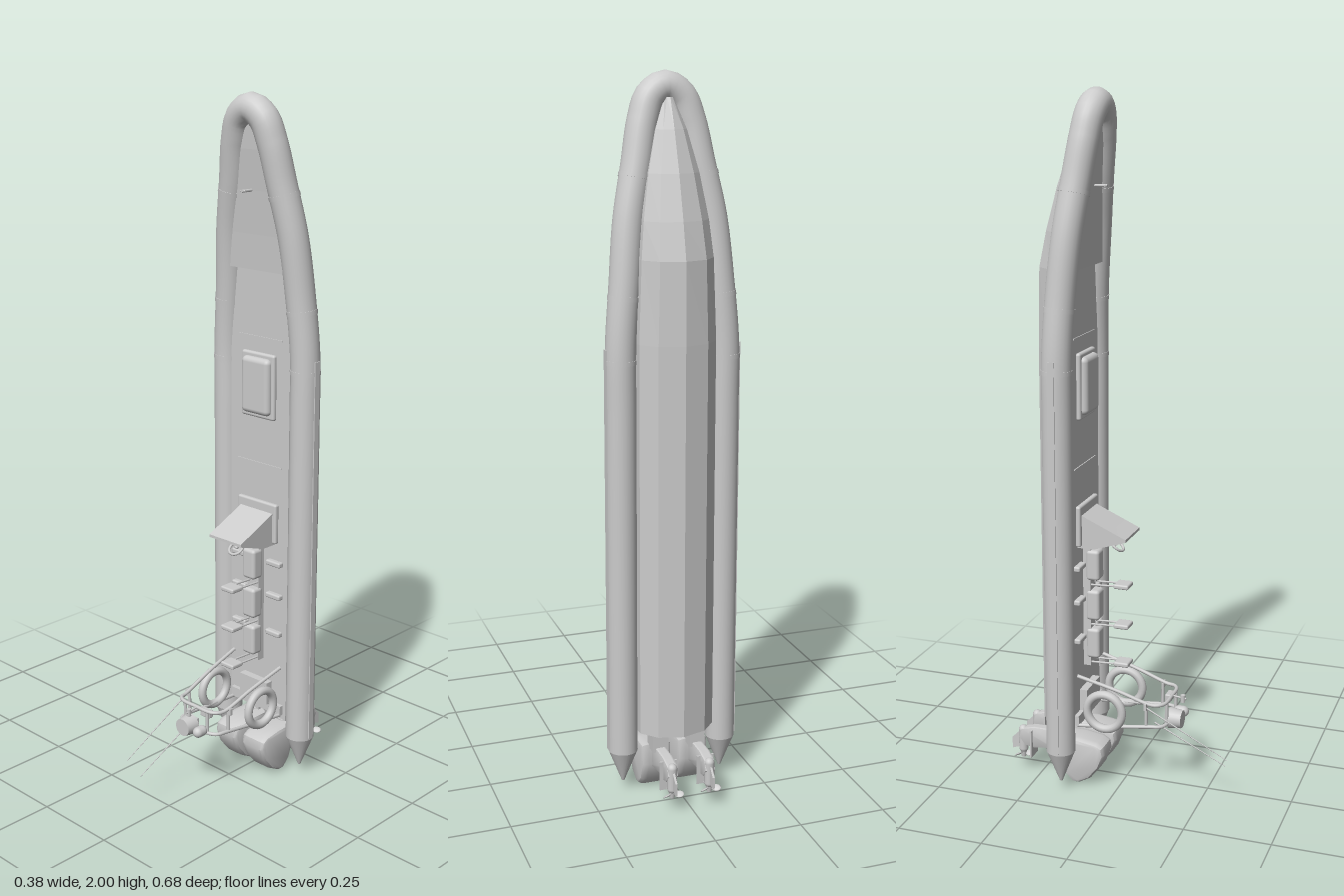
import * as THREE from 'three';
import { RoundedBoxGeometry } from 'three/addons/geometries/RoundedBoxGeometry.js';
import { toCreasedNormals } from 'three/addons/utils/BufferGeometryUtils.js';

const grey = new THREE.MeshStandardMaterial({ color: 0xcccccc });
const faceted = new THREE.MeshStandardMaterial({ color: 0xcccccc, flatShading: true, side: THREE.DoubleSide });
const V = (x, y, z) => new THREE.Vector3(x, y, z);

function add(parent, name, geo, x = 0, y = 0, z = 0, mat = grey) {
  const m = new THREE.Mesh(geo, mat);
  m.name = name;
  m.position.set(x, y, z);
  parent.add(m);
  return m;
}
const box = (w, h, d) => new THREE.BoxGeometry(w, h, d);
const soft = (w, h, d, r) => new RoundedBoxGeometry(w, h, d, 3, r);
const cyl = (r1, r2, h, n = 20) => new THREE.CylinderGeometry(r1, r2, h, n);

// Straight round bar between two points
function rod(parent, name, a, b, r0, r1 = r0) {
  const m = add(parent, name, cyl(r1, r0, a.distanceTo(b), 8));
  m.position.copy(a).add(b).multiplyScalar(0.5);
  m.quaternion.setFromUnitVectors(V(0, 1, 0), b.clone().sub(a).normalize());
  return m;
}
// Bent bar through points, with rounded corners
function pipe(parent, name, pts, r, n = 80) {
  const c = new THREE.CatmullRomCurve3(pts, false, 'centripetal');
  return add(parent, name, new THREE.TubeGeometry(c, n, r, 10));
}
// Side profile given as [z, y], extruded across x and centred
function sideExtrude(pts, width, bevel = 0) {
  const s = new THREE.Shape(pts.map(([z, y]) => new THREE.Vector2(-z, y)));
  const depth = width - 2 * bevel;
  const g = new THREE.ExtrudeGeometry(s, {
    depth, bevelEnabled: bevel > 0, bevelSize: bevel * 0.6, bevelThickness: bevel, bevelOffset: -bevel * 0.6, bevelSegments: 3,
  });
  g.translate(0, 0, -depth / 2).rotateY(Math.PI / 2);
  return toCreasedNormals(g, 0.6);
}

// Hull lofted through cross-sections: y, half width, deck z, chine x, chine z, keel z
function hullGeometry() {
  const sections = [
    [0.19, 0.112, -0.128, 0.108, -0.193, -0.255],
    [1.30, 0.112, -0.128, 0.108, -0.193, -0.255],
    [1.52, 0.105, -0.126, 0.100, -0.190, -0.252],
    [1.521, 0.105, -0.108, 0.100, -0.190, -0.252],
    [1.62, 0.096, -0.102, 0.090, -0.178, -0.230],
    [1.74, 0.080, -0.092, 0.070, -0.158, -0.197],
    [1.85, 0.050, -0.080, 0.043, -0.135, -0.160],
    [1.93, 0.015, -0.075, 0.012, -0.115, -0.128],
  ];
  const pos = [], idx = [], n = 7;
  for (const [y, w, d, cx, cz, k] of sections) {
    const mx = cx * 0.64, mz = cz + (k - cz) * 0.68;
    for (const [x, z] of [[w, d], [cx, cz], [mx, mz], [0, k], [-mx, mz], [-cx, cz], [-w, d]]) pos.push(x, y, z);
  }
  for (let s = 0; s < sections.length - 1; s++)
    for (let i = 0; i < n; i++) {
      const a = s * n + i, b = s * n + (i + 1) % n;
      idx.push(a, b, a + n, b, b + n, a + n);
    }
  const last = (sections.length - 1) * n;
  for (let i = 1; i < n - 1; i++) {
    idx.push(0, i + 1, i);
    idx.push(last, last + i, last + i + 1);
  }
  const g = new THREE.BufferGeometry();
  g.setAttribute('position', new THREE.Float32BufferAttribute(pos, 3));
  g.setIndex(idx);
  return g;
}

function outboard(x) {
  const g = new THREE.Group();
  g.name = 'outboardMotor';
  g.position.x = x;
  add(g, 'cowl', sideExtrude([[-0.04, 0.10], [-0.045, 0.125], [-0.065, 0.137], [-0.12, 0.145], [-0.18, 0.145],
    [-0.185, 0.085], [-0.165, 0.03], [-0.14, 0.004], [-0.12, 0.003], [-0.085, 0.022], [-0.055, 0.06]], 0.088, 0.02));
  add(g, 'leg', sideExtrude([[-0.16, 0.148], [-0.27, 0.148], [-0.31, 0.138], [-0.32, 0.11], [-0.30, 0.085],
    [-0.27, 0.08], [-0.24, 0.085], [-0.20, 0.08], [-0.16, 0.07]], 0.03, 0.006));
  add(g, 'bracket', box(0.045, 0.06, 0.05), 0, 0.165, -0.19);
  add(g, 'cavitationPlate', box(0.05, 0.085, 0.005), 0, 0.095, -0.277);
  add(g, 'gearcase', new THREE.CapsuleGeometry(0.014, 0.06, 6, 14), 0, 0.10, -0.31);
  add(g, 'skeg', sideExtrude([[-0.315, 0.13], [-0.345, 0.10], [-0.345, 0.065], [-0.315, 0.075]], 0.006));
  add(g, 'propellerHub', cyl(0.011, 0.007, 0.025, 14), 0, 0.055, -0.31);
  for (let i = 0; i < 3; i++) {
    const hub = new THREE.Group();
    hub.name = 'propellerBlade';
    hub.position.set(0, 0.055, -0.31);
    hub.rotation.y = i * Math.PI * 2 / 3;
    const blade = add(hub, 'blade', new THREE.SphereGeometry(1, 12, 8), 0, 0, 0.02);
    blade.scale.set(0.011, 0.003, 0.014);
    blade.rotation.z = 0.6;
    g.add(hub);
  }
  return g;
}

export function createModel() {
  const boat = new THREE.Group();
  boat.name = 'inflatableBoat';
  add(boat, 'hull', hullGeometry(), 0, 0, 0, faceted);

  // Inflatable collar running round the bow, with tapered tails and seam bands
  const R = 0.042;
  const side = [[0.147, 0.13, -0.153], [0.147, 0.6, -0.153], [0.147, 1.1, -0.153], [0.146, 1.29, -0.152],
    [0.133, 1.45, -0.145], [0.116, 1.62, -0.13], [0.088, 1.76, -0.113], [0.066, 1.87, -0.098], [0.042, 1.932, -0.09]];
  const path = [...side.map(p => V(...p)), V(0, 1.957, -0.087), ...side.map(([x, y, z]) => V(-x, y, z)).reverse()];
  const curve = new THREE.CatmullRomCurve3(path, false, 'centripetal');
  add(boat, 'collarTube', new THREE.TubeGeometry(curve, 220, R, 24));
  for (const t of [0.3, 0.345, 0.43, 0.57, 0.655, 0.7]) {
    const band = add(boat, 'collarBand', cyl(R + 0.0015, R + 0.0015, 0.012, 24));
    band.position.copy(curve.getPointAt(t));
    band.quaternion.setFromUnitVectors(V(0, 1, 0), curve.getTangentAt(t));
  }
  for (const s of [-1, 1]) {
    add(boat, 'collarTail', cyl(R, 0.004, 0.097, 24), s * 0.147, 0.0825, -0.153);
    add(boat, 'rubbingStrake', box(0.006, 1.15, 0.018), s * 0.188, 0.71, -0.153);
    boat.add(outboard(s * 0.055));
  }

  // Deck fittings
  add(boat, 'transom', box(0.2, 0.03, 0.05), 0, 0.205, -0.14);
  add(boat, 'engineWell', box(0.11, 0.07, 0.03), 0, 0.25, -0.12);
  add(boat, 'hatchRim', soft(0.125, 0.19, 0.016, 0.007), 0, 1.192, -0.124);
  add(boat, 'hatch', soft(0.105, 0.165, 0.04, 0.015), 0, 1.192, -0.12);
  for (const y of [0.96, 1.33]) add(boat, 'deckSeam', box(0.17, 0.004, 0.004), 0, y, -0.127);
  rod(boat, 'bowPost', V(-0.004, 1.74, -0.1), V(-0.004, 1.74, -0.055), 0.004);
  rod(boat, 'bowCleat', V(-0.012, 1.74, -0.06), V(0.004, 1.74, -0.06), 0.003);

  // Helm console
  add(boat, 'consoleBase', soft(0.15, 0.12, 0.016, 0.006), 0, 0.79, -0.123);
  add(boat, 'console', sideExtrude([[-0.13, 0.83], [-0.10, 0.815], [0.016, 0.763], [0.016, 0.755],
    [-0.08, 0.725], [-0.13, 0.725]], 0.125));
  for (const x of [-0.025, 0, 0.025]) add(boat, 'gauge', cyl(0.008, 0.008, 0.006, 14), x, 0.743, -0.025);
  rod(boat, 'steeringColumn', V(0, 0.75, -0.05), V(0, 0.724, -0.03), 0.006);
  const wheel = add(boat, 'steeringWheel', new THREE.TorusGeometry(0.022, 0.004, 8, 24), 0, 0.724, -0.03);
  wheel.rotation.x = -0.9;

  // Straddle seats on a central spine, each with a backrest and footrests
  add(boat, 'seatSpine', box(0.04, 0.36, 0.03), 0, 0.53, -0.12);
  for (const y of [0.605, 0.483, 0.365]) {
    add(boat, 'saddle', soft(0.048, 0.092, 0.04, 0.01), 0, y + 0.055, -0.099);
    for (const s of [-1, 1]) {
      rod(boat, 'backrestStay', V(s * 0.016, y - 0.005, -0.12), V(s * 0.016, y, -0.01), 0.003);
      add(boat, 'footrest', soft(0.055, 0.016, 0.02, 0.005), s * 0.068, y + 0.065 - (y < 0.6 ? -0.02 : 0), -0.12);
    }
    add(boat, 'backrest', soft(0.05, 0.014, 0.045, 0.005), 0, y, -0.012);
  }

  // Stern mast: two hoops tied together
  const hoop = (y0, y1, z0, w) => pipe(boat, 'mastHoop', [
    V(-0.094, y0, z0), V(-0.087, (y0 + y1) / 2, 0), V(-w, y1, 0.1), V(-w + 0.006, y1, 0.122), V(-w + 0.024, y1, 0.135),
    V(0, y1, 0.137), V(w - 0.024, y1, 0.135), V(w - 0.006, y1, 0.122), V(w, y1, 0.1), V(0.087, (y0 + y1) / 2, 0), V(0.094, y0, z0)], 0.0055);
  hoop(0.345, 0.28, -0.12, 0.08);
  hoop(0.19, 0.212, -0.12, 0.08);
  for (const s of [-1, 1]) {
    rod(boat, 'mastStrut', V(s * 0.08, 0.28, 0.085), V(s * 0.08, 0.212, 0.085), 0.005);
    rod(boat, 'mastStrut', V(s * 0.045, 0.28, 0.136), V(s * 0.045, 0.212, 0.136), 0.005);
    const ring = add(boat, 'lifeRing', new THREE.TorusGeometry(0.053, 0.0125, 12, 36), s * 0.095, 0.245, -0.037);
    ring.rotation.y = Math.PI / 2;
    add(boat, 'antennaMount', box(0.012, 0.02, 0.008), s * 0.087, 0.275, 0.085);
  }

  // Mast equipment
  const radar = add(boat, 'radarDome', cyl(0.026, 0.031, 0.038, 24), -0.018, 0.22, 0.157);
  radar.rotation.x = Math.PI / 2;
  add(boat, 'radarBracket', box(0.04, 0.03, 0.02), -0.018, 0.225, 0.138);
  const lamp = add(boat, 'searchlight', new THREE.CapsuleGeometry(0.016, 0.014, 6, 16), 0.035, 0.22, 0.156);
  lamp.rotation.x = Math.PI / 2;
  add(boat, 'speakerBox', soft(0.038, 0.024, 0.018, 0.004), 0.028, 0.265, 0.122);
  add(boat, 'navigationLight', cyl(0.007, 0.007, 0.022, 12), 0.004, 0.275, 0.17);
  rod(boat, 'lightStalk', V(0.004, 0.28, 0.137), V(0.004, 0.275, 0.18), 0.003);
  rod(boat, 'antenna', V(-0.088, 0.277, 0.08), V(-0.088, 0.147, 0.33), 0.0025, 0.001);
  rod(boat, 'antenna', V(-0.047, 0.212, 0.1), V(-0.047, 0.107, 0.315), 0.0025, 0.001);
  return boat;
}
